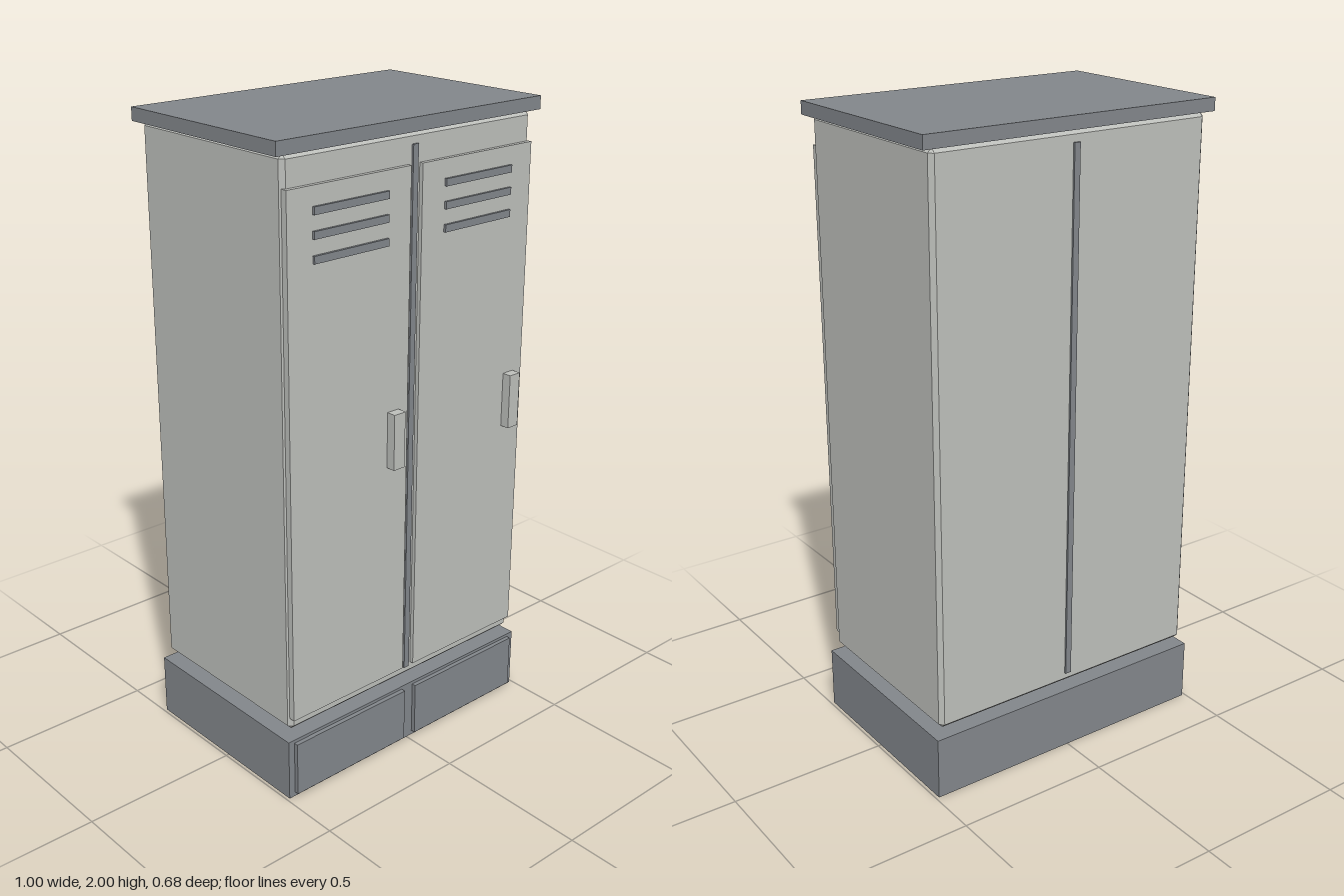
import * as THREE from 'three';
import { ConvexGeometry } from 'three/addons/geometries/ConvexGeometry.js';

const light = new THREE.MeshStandardMaterial({ name: 'lightGreyPaint', color: 0xbdbfbb });
const dark = new THREE.MeshStandardMaterial({ name: 'darkGreyPaint', color: 0x82868b });

// Box given by its minimum and maximum corners
function box(name, material, [x0, y0, z0], [x1, y1, z1]) {
  const mesh = new THREE.Mesh(new THREE.BoxGeometry(x1 - x0, y1 - y0, z1 - z0), material);
  mesh.position.set((x0 + x1) / 2, (y0 + y1) / 2, (z0 + z1) / 2);
  mesh.name = name;
  return mesh;
}

// Box with all edges cut at 45 degrees
function chamferedBox(w, h, d, c) {
  const points = [];
  for (const x of [-1, 1]) for (const y of [-1, 1]) for (const z of [-1, 1]) {
    for (let axis = 0; axis < 3; axis++) {
      const inset = [c, c, c];
      inset[axis] = 0;
      points.push(new THREE.Vector3(
        x * (w / 2 - inset[0]), y * (h / 2 - inset[1]), z * (d / 2 - inset[2])));
    }
  }
  return new ConvexGeometry(points);
}

export function createModel() {
  const model = new THREE.Group();
  model.name = 'locker';

  // Base, floating just below the cabinet, and top board
  model.add(box('base', dark, [-0.49, 0, -0.34], [0.49, 0.2, 0.304]));
  model.add(box('topBoard', dark, [-0.5, 1.96, -0.34], [0.5, 2, 0.304]));

  // Cabinet with chamfered edges
  const cabinet = new THREE.Mesh(chamferedBox(0.946, 1.732, 0.624, 0.013), light);
  cabinet.name = 'cabinet';
  cabinet.position.set(0, 1.094, -0.02);
  model.add(cabinet);

  // Centre seams, front and back
  model.add(box('frontSeam', dark, [-0.01, 0.26, 0.288], [0.01, 1.925, 0.298]));
  model.add(box('backSeam', dark, [-0.01, 0.26, -0.338], [0.01, 1.925, -0.328]));

  // Two identical doors, each with its handle, vents and base panel
  for (const [side, cx] of [['right', -0.2465], ['left', 0.2435]]) {
    const unit = new THREE.Group();
    unit.name = side + 'Door';
    unit.position.x = cx;
    unit.add(box('doorPanel', light, [-0.223, 0.268, 0.285], [0.223, 1.87, 0.305]));
    unit.add(box('handle', light, [0.144, 0.985, 0.3], [0.187, 1.16, 0.335]));
    for (const y of [1.67, 1.737, 1.803]) {
      unit.add(box('vent', dark, [-0.135, y - 0.011, 0.304], [0.135, y + 0.011, 0.313]));
    }
    unit.add(box('basePanel', dark, [-0.222, 0.014, 0.3], [0.222, 0.19, 0.318]));
    model.add(unit);
  }
  return model;
}
